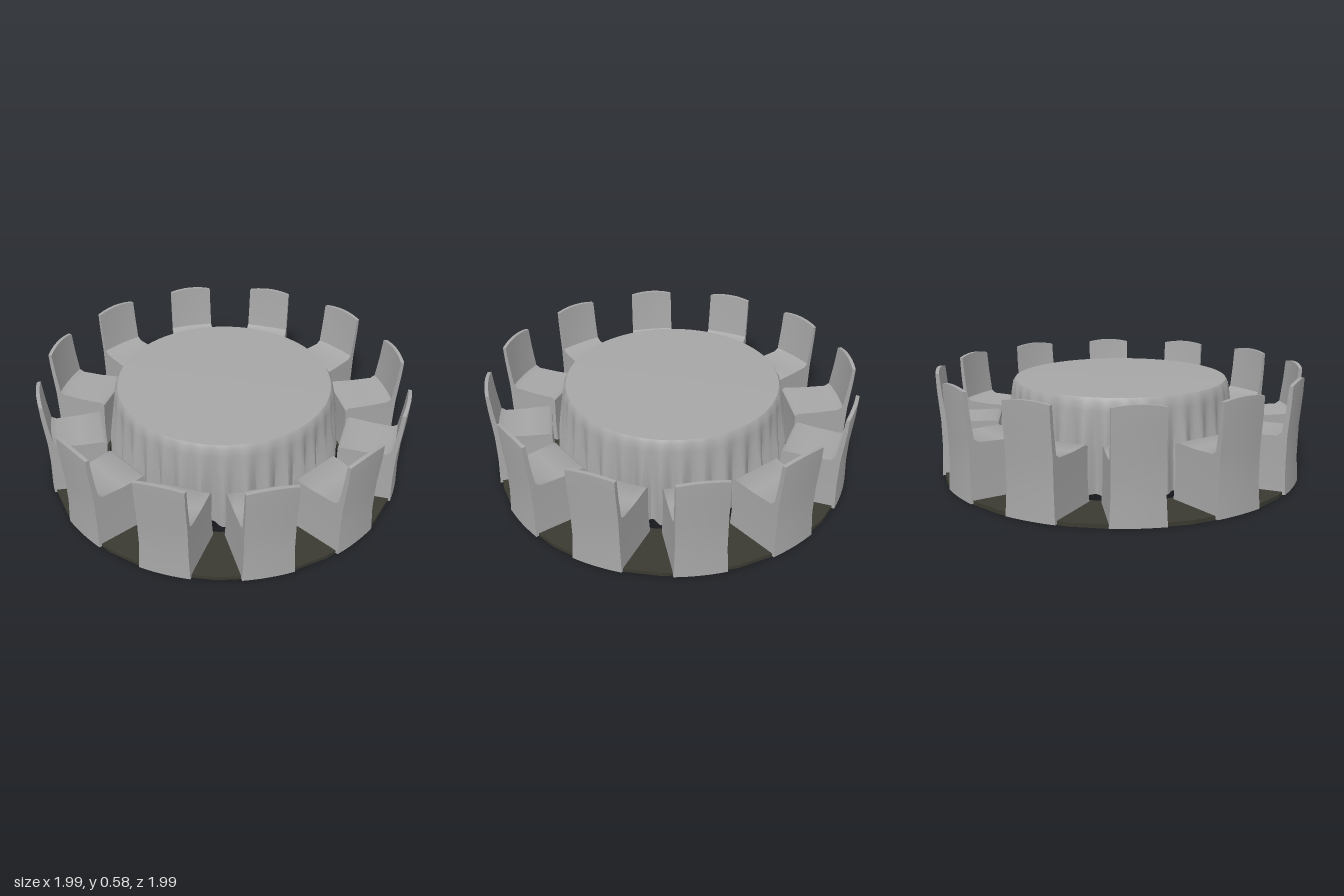
import * as THREE from 'three';
import { toCreasedNormals } from 'three/addons/utils/BufferGeometryUtils.js';

const SEATS = 12;
const cloth = new THREE.MeshStandardMaterial({ name: 'grey cloth', color: 0xa6a6a6 });
const carpet = new THREE.MeshStandardMaterial({ name: 'dark carpet', color: 0x3a3a32 });

// Move every vertex of a geometry by a rule, then smooth it up to a crease angle
function shapeBy(geometry, rule, crease) {
  const pos = geometry.attributes.position;
  const v = new THREE.Vector3();
  for (let i = 0; i < pos.count; i++) {
    v.fromBufferAttribute(pos, i);
    rule(v);
    pos.setXYZ(i, v.x, v.y, v.z);
  }
  return toCreasedNormals(geometry, crease);
}

// Covered chair: side profile (distance from centre, height) swept across its width
function chairGeometry() {
  const profile = [
    [0.67, 0.008], [0.985, 0.004], [0.978, 0.15], [0.98, 0.31], [0.994, 0.48], [0.997, 0.562],
    [0.978, 0.562], [0.968, 0.45], [0.952, 0.325], [0.92, 0.308], [0.8, 0.304],
    [0.685, 0.308], [0.668, 0.295], [0.675, 0.15],
  ].map(([r, y]) => new THREE.Vector2(r, y));
  const geometry = new THREE.ExtrudeGeometry(new THREE.Shape(profile), {
    depth: 2, steps: 6, bevelEnabled: false,
  });
  geometry.translate(0, 0, -1);
  return shapeBy(geometry, (v) => {
    const u = v.z;
    const flare = 0.008 * Math.max(0, 1 - v.y / 0.15);
    const width = THREE.MathUtils.mapLinear(v.x, 0.67, 0.99, 0.142, 0.125) + flare;
    if (v.y > 0.5) v.y += 0.014 * (1 - u * u);   // crowned top edge
    if (v.x > 0.94) v.x -= 0.008 * u * u;        // gently bowed back
    v.z = u * width;
  }, 0.7);
}

// Table with a pleated cloth that falls to the floor
function tableGeometry() {
  const profile = [
    [0, 0.03], [0.624, 0.03], [0.62, 0.12], [0.613, 0.24], [0.604, 0.36], [0.596, 0.45],
    [0.59, 0.495], [0.578, 0.514], [0.54, 0.515], [0, 0.515],
  ].map(([r, y]) => new THREE.Vector2(r, y));
  return shapeBy(new THREE.LatheGeometry(profile, 216), (v) => {
    const r = Math.hypot(v.x, v.z);
    if (r < 0.56) return;
    const a = Math.atan2(v.z, v.x);
    const fall = Math.min(1, (0.515 - v.y) / 0.3);
    const pleat = 0.022 * Math.sin(36 * a + 0.7 * Math.sin(5 * a)) + 0.006 * Math.sin(13 * a);
    const k = (r + pleat * fall) / r;
    v.x *= k;
    v.z *= k;
  }, 0.8);
}

// Flat carpet ring under the chairs
function ringGeometry() {
  const circle = (radius, sides) => Array.from({ length: sides }, (_, i) => {
    const a = (i / sides) * Math.PI * 2;
    return new THREE.Vector2(Math.cos(a) * radius, Math.sin(a) * radius);
  });
  const shape = new THREE.Shape(circle(0.975, 32));
  shape.holes.push(new THREE.Path(circle(0.668, 24)));
  const geometry = new THREE.ExtrudeGeometry(shape, { depth: 0.02, bevelEnabled: false });
  return geometry.rotateX(-Math.PI / 2);
}

export function createModel() {
  const model = new THREE.Group();
  model.name = 'roundTableWithChairs';

  const add = (name, geometry, material) => {
    const mesh = new THREE.Mesh(geometry, material);
    mesh.name = name;
    model.add(mesh);
    return mesh;
  };

  add('carpetRing', ringGeometry(), carpet);
  add('tableWithCloth', tableGeometry(), cloth);

  // Chairs evenly spaced, all facing the table
  const chair = chairGeometry();
  for (let i = 0; i < SEATS; i++) {
    add('chair' + (i + 1), chair, cloth).rotation.y = (i / SEATS) * Math.PI * 2;
  }
  return model;
}
